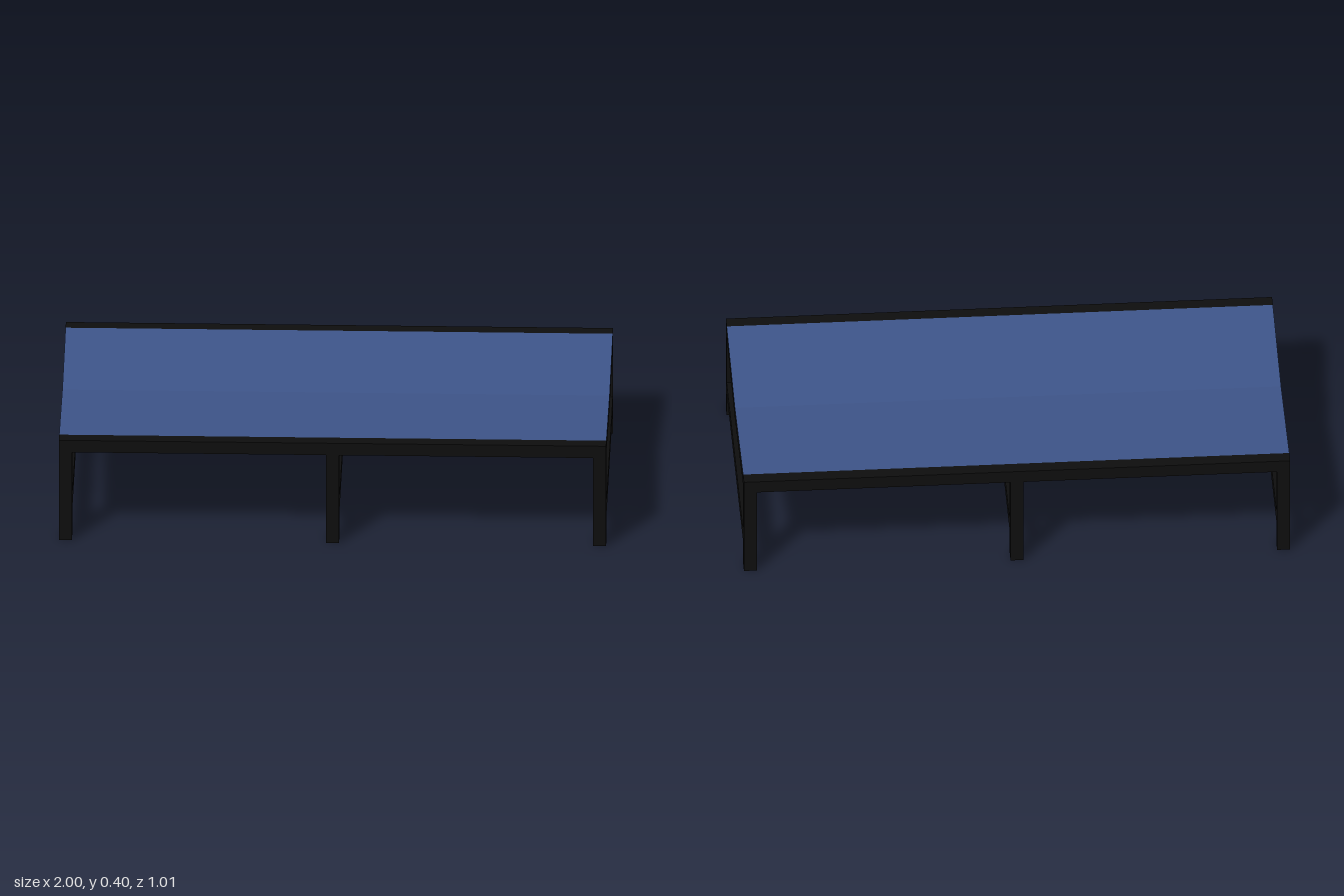
import * as THREE from 'three';

const H = 0.403;   // frame height
const T = 0.048;   // bar thickness
const D = 0.503;   // half depth
const SAG = 0.034; // dip of the sling at the middle

export function createModel() {
  const group = new THREE.Group();
  const frame = new THREE.MeshStandardMaterial({ color: 0x0e0e0e });
  frame.name = 'black frame';
  const cloth = new THREE.MeshStandardMaterial({ color: 0x3d5488, side: THREE.DoubleSide });
  cloth.name = 'blue fabric';

  const add = (name, geometry, material, x = 0, y = 0, z = 0) => {
    const mesh = new THREE.Mesh(geometry, material);
    mesh.name = name;
    mesh.position.set(x, y, z);
    group.add(mesh);
  };
  const inner = D - T;

  // Long side rails
  for (const s of [-1, 1]) {
    add('sideRail', new THREE.BoxGeometry(2, T, T), frame, 0, H - T / 2, s * (D - T / 2));
  }

  // Three pairs of legs, each pair joined by a low brace
  for (const x of [-1 + T / 2, 0, 1 - T / 2]) {
    for (const s of [-1, 1]) {
      add('leg', new THREE.BoxGeometry(T, H - T, T), frame, x, (H - T) / 2, s * (D - T / 2));
    }
    add('crossBrace', new THREE.BoxGeometry(T, T, 2 * inner), frame, x, 0.123, 0);
  }

  // V-shaped end bars; the profile is drawn in z and y, then turned to run along x
  const profile = new THREE.Shape([
    [-inner, H - T], [0, H - T - SAG], [inner, H - T],
    [inner, H - 0.002], [0, H - SAG - 0.002], [-inner, H - 0.002],
  ].map(([z, y]) => new THREE.Vector2(z, y)));
  const endBar = new THREE.ExtrudeGeometry(profile, { depth: T, bevelEnabled: false });
  endBar.rotateY(Math.PI / 2);
  for (const x of [-1, 1 - T]) add('endBar', endBar, frame, x);

  // Sling: a sheet folded down along its middle line
  const sling = new THREE.PlaneGeometry(2, 2 * inner, 1, 2).rotateX(-Math.PI / 2);
  const p = sling.attributes.position;
  for (let i = 0; i < p.count; i++) {
    p.setY(i, H - SAG * (1 - Math.abs(p.getZ(i)) / inner));
  }
  const flat = sling.toNonIndexed();
  flat.computeVertexNormals();
  add('fabricSling', flat, cloth);

  return group;
}
